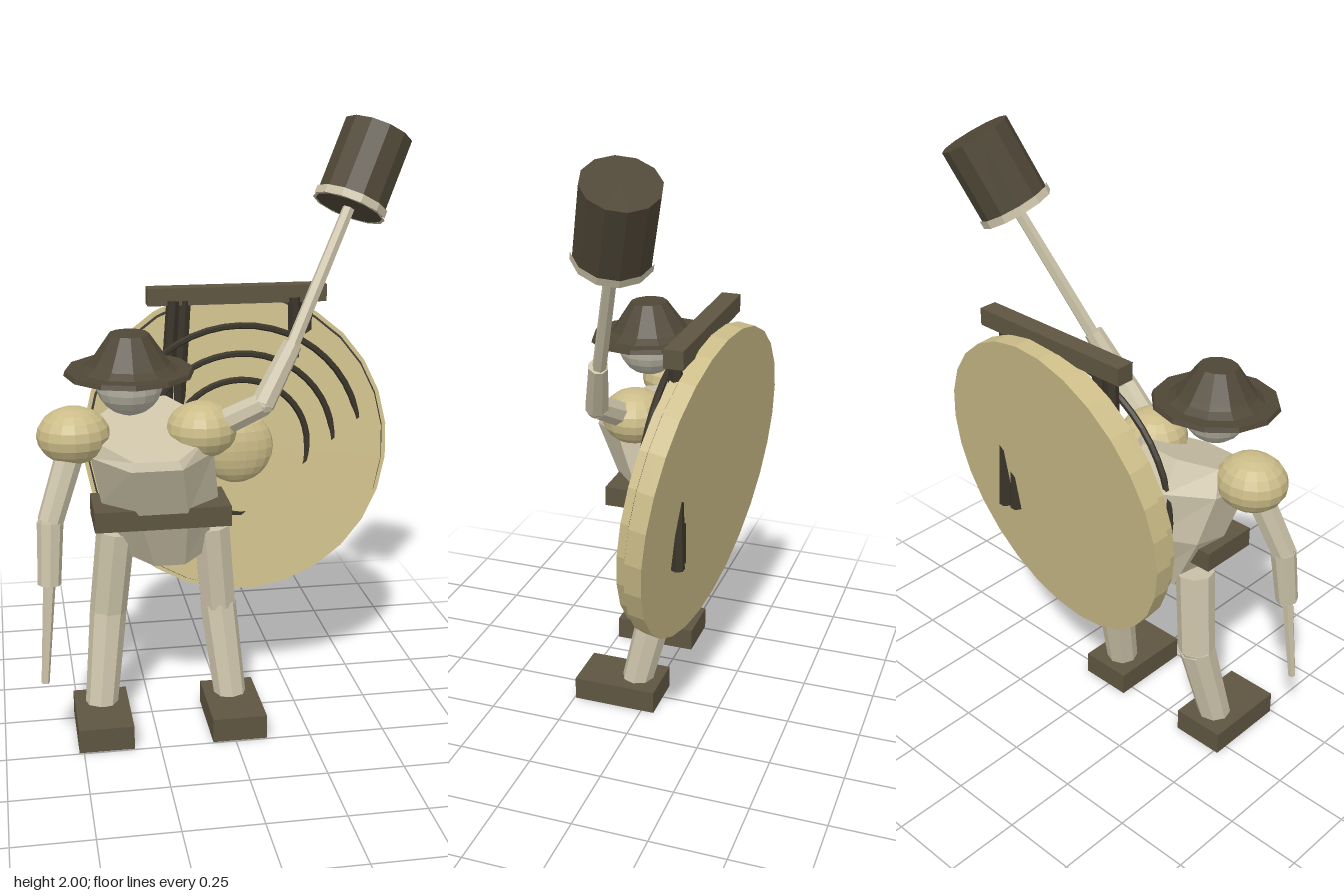
import * as THREE from 'three';

const mat = (name, color, opts = {}) => {
  const m = new THREE.MeshStandardMaterial({ color, flatShading: true, ...opts });
  m.name = name;
  return m;
};

export function createModel() {
  const pale = mat('pale bone', 0xcbc2a8);
  const gold = mat('old gold', 0xcbbc88);
  const dark = mat('dark wood', 0x5e5541);
  const iron = mat('dark iron', 0x4f4737);
  const black = mat('black cord', 0x3a352a);
  const skin = mat('grey skin', 0xbab7a6);

  const root = new THREE.Group();
  root.name = 'gongStriker';
  const V = (p) => new THREE.Vector3(...p);
  const UP = new THREE.Vector3(0, 1, 0);

  const add = (name, geo, material, pos = [0, 0, 0], parent = root) => {
    const m = new THREE.Mesh(geo, material);
    m.name = name;
    m.position.set(...pos);
    parent.add(m);
    return m;
  };
  const box = (name, size, pos, material) => add(name, new THREE.BoxGeometry(...size), material, pos);
  const ball = (name, radii, pos, material, w = 16, h = 10) =>
    add(name, new THREE.SphereGeometry(1, w, h), material, pos).scale.set(...radii);

  // Tapered cylinder from a to b
  const rod = (name, a, b, ra, rb, material, sides = 8, open = false) => {
    const from = V(a), to = V(b), dir = to.clone().sub(from);
    const geo = new THREE.CylinderGeometry(rb, ra, dir.length(), sides, 1, open);
    const m = add(name, geo, material, from.clone().lerp(to, 0.5).toArray());
    m.quaternion.setFromUnitVectors(UP, dir.normalize());
    return m;
  };
  // Two-part limb with a filled joint
  const limb = (name, a, b, c, ra, rb, rc) => {
    rod(name + 'Upper', a, b, ra, rb, pale);
    rod(name + 'Lower', b, c, rb, rc, pale);
    ball(name + 'Joint', [rb * 0.96, rb * 0.96, rb * 0.96], b, pale, 8, 6);
  };

  // Feet and legs
  for (const [side, fx, hx, kx] of [['left', 0.015, -0.04, -0.015], ['right', -0.425, -0.36, -0.39]]) {
    box(side + 'Foot', [0.18, 0.08, 0.29], [fx, 0.04, 0.1], dark);
    limb(side + 'Leg', [hx, 0.67, -0.01], [kx, 0.38, -0.025], [fx, 0.07, 0.045], 0.064, 0.062, 0.054);
  }

  // Torso lofted through tilted octagons: centre, x radius, front-to-back half vector
  const sections = [
    { c: [-0.19, 0.6, -0.02], rx: 0.125, d: [-0.04, 0.09] },
    { c: [-0.22, 0.81, 0.0], rx: 0.195, d: [-0.04, 0.165] },
    { c: [-0.25, 0.98, 0.055], rx: 0.2, d: [-0.035, 0.2] },
    { c: [-0.25, 1.04, 0.085], rx: 0.17, d: [-0.07, 0.16] },
  ];
  const N = 8, verts = [], index = [];
  for (const { c, rx, d } of sections) {
    for (let i = 0; i < N; i++) {
      const t = ((i + 0.5) / N) * Math.PI * 2;
      verts.push(c[0] + rx * 1.06 * Math.sin(t), c[1] + d[0] * Math.cos(t), c[2] + d[1] * 1.06 * Math.cos(t));
    }
  }
  for (let s = 0; s < sections.length - 1; s++) {
    for (let i = 0; i < N; i++) {
      const a = s * N + i, b = s * N + ((i + 1) % N);
      index.push(a, b, b + N, a, b + N, a + N);
    }
  }
  const last = (sections.length - 1) * N;
  for (let i = 1; i < N - 1; i++) {
    index.push(0, i + 1, i);
    index.push(last, last + i, last + i + 1);
  }
  const torso = new THREE.BufferGeometry();
  torso.setAttribute('position', new THREE.Float32BufferAttribute(verts, 3));
  torso.setIndex(index);
  torso.computeVertexNormals();
  add('torso', torso, pale);
  box('belt', [0.44, 0.067, 0.205], [-0.22, 0.757, 0.06], dark);

  // Head and brimmed hat
  ball('head', [0.107, 0.107, 0.107], [-0.317, 1.205, 0.115], skin, 16, 12);
  const hatProfile = [[0, 1.235], [0.14, 1.235], [0.205, 1.23], [0.2, 1.245], [0.155, 1.245],
    [0.13, 1.262], [0.12, 1.275], [0.063, 1.357], [0, 1.357]];
  const hat = new THREE.LatheGeometry(hatProfile.map(([r, y]) => new THREE.Vector2(r, y - 1.235)), 12);
  add('hat', hat, iron, [-0.317, 1.235, 0.112]).rotation.x = 0.04;

  // Shoulders
  ball('leftShoulder', [0.115, 0.092, 0.11], [-0.085, 1.03, 0.085], gold);
  ball('rightShoulder', [0.117, 0.092, 0.11], [-0.495, 1.03, 0.085], gold);

  // Lowered right arm with a short stick
  limb('rightArm', [-0.5, 1.0, 0.1], [-0.58, 0.77, 0.16], [-0.59, 0.57, 0.185], 0.046, 0.042, 0.037);
  rod('shortStick', [-0.59, 0.58, 0.188], [-0.615, 0.245, 0.215], 0.02, 0.013, pale, 6);

  // Raised left arm with the mallet
  limb('leftArm', [-0.03, 1.05, 0.11], [0.1, 1.12, 0.148], [0.205, 1.3, 0.1], 0.045, 0.04, 0.032);
  const head0 = V([0.412, 1.71, -0.03]), head1 = V([0.522, 1.945, -0.098]);
  const along = (t) => head0.clone().lerp(head1, t).toArray();
  rod('malletHandle', [0.2, 1.285, 0.1], along(0.05), 0.023, 0.02, pale, 6);
  rod('malletHead', along(0), along(1), 0.116, 0.116, iron, 12);
  rod('malletBand', along(0), along(0.1), 0.123, 0.123, pale, 12, true);
  const rim = add('malletBandEdge', new THREE.RingGeometry(0.113, 0.123, 12), pale, along(-0.002));
  rim.quaternion.setFromUnitVectors(new THREE.Vector3(0, 0, 1), head0.clone().sub(head1).normalize());

  // Tilted gong: thick back disc, dark seam, front plate, boss
  const n = V([-0.105, 0.13, 1]).normalize();
  const gongCentre = V([0.078, 0.897, -0.238]);
  const gong = (name, z0, z1, r, material) =>
    rod(name, gongCentre.clone().addScaledVector(n, z0).toArray(),
      gongCentre.clone().addScaledVector(n, z1).toArray(), r, r, material, 28);
  gong('gongBack', 0, 0.056, 0.522, gold);
  gong('gongSeam', 0.054, 0.062, 0.508, black);
  gong('gongPlate', 0.06, 0.092, 0.5, gold);
  const boss = add('gongBoss', new THREE.SphereGeometry(1, 18, 12), gold, [0.065, 0.905, -0.115]);
  boss.scale.set(0.125, 0.125, 0.062);

  // Upright rings partly sunk into the gong
  [0.42, 0.325, 0.235].forEach((r, i) =>
    add('gongRing' + (i + 1), new THREE.TorusGeometry(r, 0.011, 6, 48), black, [0.075, 0.9, -0.123]));

  // Hanging beam and its struts
  box('beam', [0.605, 0.058, 0.062], [0.078, 1.413, -0.2], dark);
  for (const [x0, x1, z] of [[-0.14, -0.19, -0.19], [-0.1, -0.14, -0.2], [0.27, 0.29, -0.19], [0.315, 0.335, -0.2]]) {
    rod('strut', [x0, 1.4, z + 0.015], [x1, 0.71, z - 0.005], 0.022, 0.022, black, 6);
  }
  return root;
}
